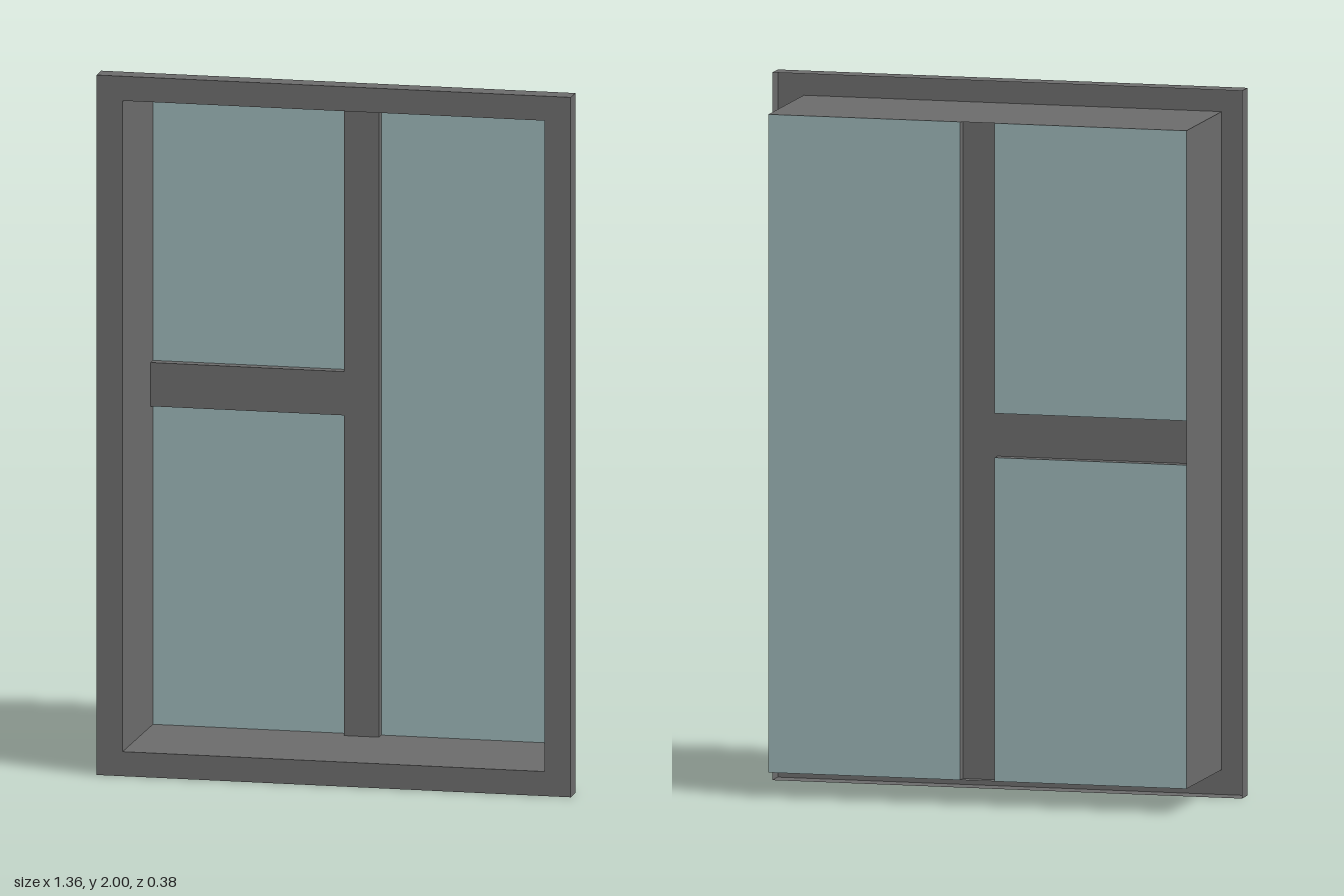
import * as THREE from 'three';

const frameMat = new THREE.MeshStandardMaterial({ color: 0x6b6b6b, side: THREE.DoubleSide });
const glassMat = new THREE.MeshStandardMaterial({ color: 0x9ab4b5, side: THREE.DoubleSide });

// Key planes and edges
const FRONT = 0.19, LIP = 0.13, BAR = -0.16, BACK = -0.19;
const W = 0.68, H = 2;                               // outer flange
const w = 0.605, bottom = 0.07, top = 1.93;          // sleeve
const m = 0.05, barLow = 0.985, barHigh = 1.11;      // dividing bars

const rect = (x0, y0, x1, y1) => [[x0, y0], [x1, y0], [x1, y1], [x0, y1]];
const toVectors = (pts) => pts.map(([x, y]) => new THREE.Vector2(x, y));

function add(group, name, geometry, material) {
  const mesh = new THREE.Mesh(geometry, material);
  mesh.name = name;
  group.add(mesh);
}

// Flat face at depth z, with optional hole
function face(pts, z, hole) {
  const shape = new THREE.Shape(toVectors(pts));
  if (hole) shape.holes.push(new THREE.Path(toVectors(hole)));
  return new THREE.ShapeGeometry(shape).translate(0, 0, z);
}

// Thin wall following an outline (counter-clockwise faces outward) from zBack to zFront
function wall(pts, zBack, zFront, closed = false) {
  const pos = [];
  const count = closed ? pts.length : pts.length - 1;
  for (let i = 0; i < count; i++) {
    const a = pts[i], b = pts[(i + 1) % pts.length];
    pos.push(...a, zBack, ...b, zBack, ...b, zFront);
    pos.push(...a, zBack, ...b, zFront, ...a, zFront);
  }
  const geo = new THREE.BufferGeometry();
  geo.setAttribute('position', new THREE.Float32BufferAttribute(pos, 3));
  geo.computeVertexNormals();
  return geo;
}

export function createModel() {
  const model = new THREE.Group();
  model.name = 'window';
  const outer = rect(-W, 0, W, H);
  const inner = rect(-w, bottom, w, top);

  // Front flange: flat border with a shallow rim, open behind
  const flange = new THREE.Group();
  flange.name = 'flange';
  add(flange, 'flangeFace', face(outer, FRONT, inner), frameMat);
  add(flange, 'flangeRim', wall(outer, LIP, FRONT, true), frameMat);
  model.add(flange);

  // Deep sleeve running back to the glass
  add(model, 'sleeve', wall(inner, BACK, FRONT, true), frameMat);

  // T-shaped dividing bars, recessed channel open at the back
  const bars = new THREE.Group();
  bars.name = 'dividingBars';
  const tee = [[-m, bottom], [m, bottom], [m, top], [-m, top],
    [-m, barHigh], [-w, barHigh], [-w, barLow], [-m, barLow]];
  add(bars, 'barFace', face(tee, BAR), frameMat);
  add(bars, 'barLeftEdge', wall([[m, bottom], [m, top]], BACK, BAR), frameMat);
  add(bars, 'barUpperEdge', wall([[-m, top], [-m, barHigh], [-w, barHigh]], BACK, BAR), frameMat);
  add(bars, 'barLowerEdge', wall([[-w, barLow], [-m, barLow], [-m, bottom]], BACK, BAR), frameMat);
  model.add(bars);

  // Glass panes flush with the back
  const panes = {
    tallPane: rect(m, bottom, w, top),
    upperPane: rect(-w, barHigh, -m, top),
    lowerPane: rect(-w, bottom, -m, barLow),
  };
  for (const [name, pts] of Object.entries(panes)) add(model, name, face(pts, BACK), glassMat);

  return model;
}
